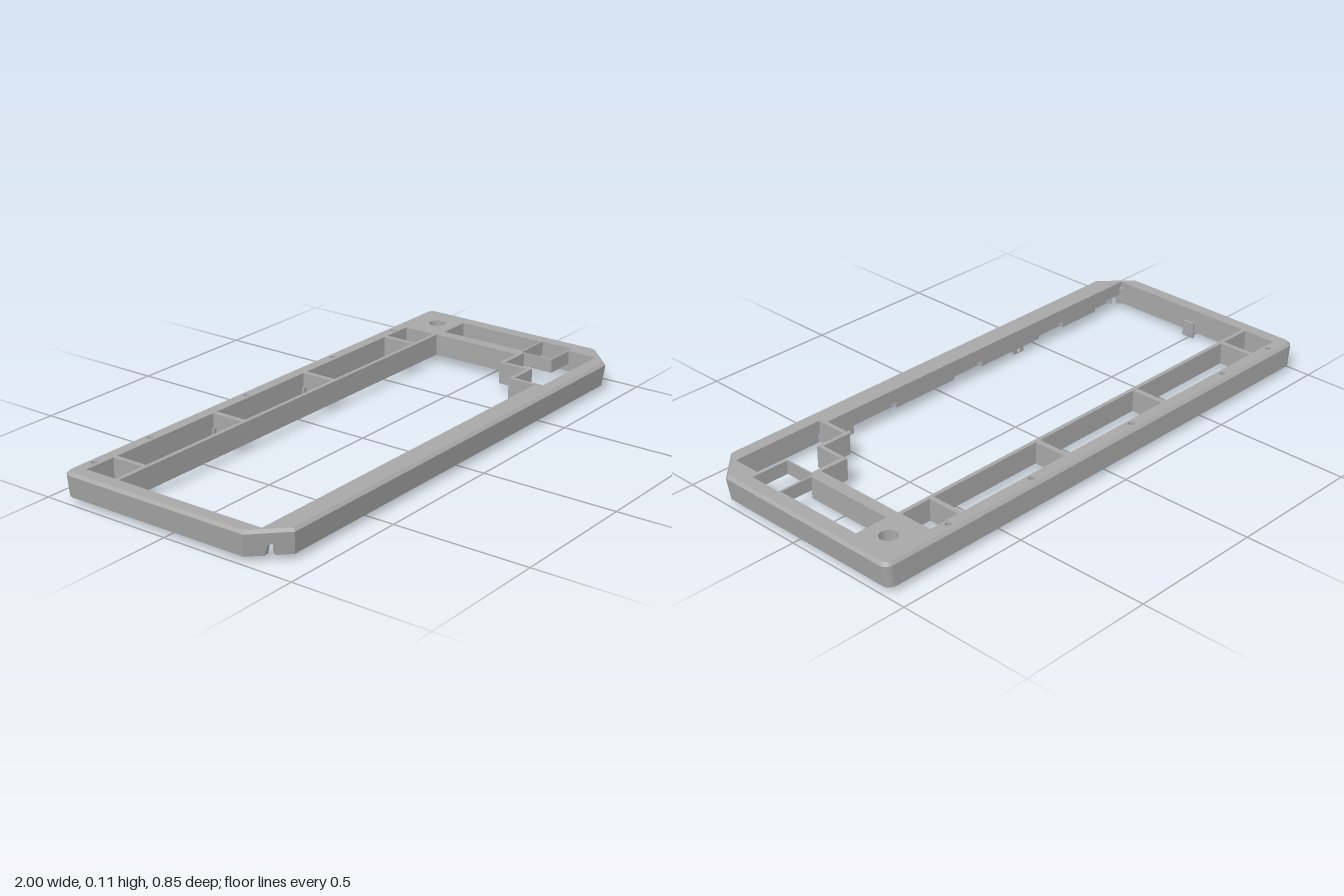
import * as THREE from 'three';

const BASE = 0.022, RIM = 0.10, TOP = 0.11, PLATE = 0.06;

// Closed loop [x, z], counter-clockwise seen from above: clipped front corners, rounded back ones
function outline(x, front, clipX, clipZ, back, r, n = 6) {
  const half = [[clipX, front], [x, clipZ]];
  for (let i = 0; i <= n; i++) {
    const a = (i / n) * Math.PI / 2;
    half.push([x - r + r * Math.cos(a), back + r - r * Math.sin(a)]);
  }
  return half.concat(half.map(([px, pz]) => [-px, pz]).reverse());
}

function polygon(points, Type = THREE.Shape) {
  return new Type(points.map(([x, z]) => new THREE.Vector2(x, -z)));
}

const rect = (x0, x1, z0, z1) => [[x0, z1], [x1, z1], [x1, z0], [x0, z0]];

// Flat shape in plan, raised from y0 to y1
function slab(shape, y0, y1) {
  const g = new THREE.ExtrudeGeometry(shape, { depth: y1 - y0, bevelEnabled: false, curveSegments: 16 });
  g.rotateX(-Math.PI / 2);
  g.translate(0, y0, 0);
  return g;
}

// Unit panel bent between an outer and an inner loop segment (u along, v up, w outward)
function panel(shape, i, low, high, inner, y0, y1, innerTop) {
  const g = new THREE.ExtrudeGeometry(shape, { depth: 1, bevelEnabled: false });
  const p = g.attributes.position, j = (i + 1) % low.length;
  const mix = THREE.MathUtils.lerp;
  for (let k = 0; k < p.count; k++) {
    const u = p.getX(k), v = p.getY(k), w = p.getZ(k);
    const at = c => mix(mix(inner[i][c], inner[j][c], u),
      mix(mix(low[i][c], low[j][c], u), mix(high[i][c], high[j][c], u), v), w);
    p.setXYZ(k, at(0), mix(y0, mix(innerTop, y1, w), v), at(1));
  }
  g.computeVertexNormals();
  return g;
}

export function createModel() {
  const group = new THREE.Group();
  const grey = new THREE.MeshStandardMaterial({ color: 0xa8a8a8 });
  grey.name = 'caseGrey';
  const add = (name, geometry, parent = group) => {
    const m = new THREE.Mesh(geometry, grey);
    m.name = name;
    parent.add(m);
    return m;
  };
  const box = (name, x0, x1, y0, y1, z0, z1) => {
    add(name, new THREE.BoxGeometry(x1 - x0, y1 - y0, z1 - z0))
      .position.set((x0 + x1) / 2, (y0 + y1) / 2, (z0 + z1) / 2);
  };

  // Outer walls, tapering down at the front and sides, with a notch in each clipped corner
  const bottom = outline(0.99, 0.418, 0.883, 0.31, -0.427, 0.03);
  const rim = outline(1, 0.427, 0.89, 0.318, -0.427, 0.03);
  const top = outline(0.99, 0.417, 0.886, 0.314, -0.417, 0.022);
  const lip = outline(0.985, 0.412, 0.884, 0.312, -0.412, 0.02);
  const inside = outline(0.945, 0.38, 0.9, 0.335, -0.375, 0);
  const square = new THREE.Shape([[0, 0], [1, 0], [1, 1], [0, 1]].map(p => new THREE.Vector2(...p)));
  const notched = flip => {
    const pts = [[0, 0], [0.4, 0], [0.48, 0.48], [0.62, 0.48], [0.64, 0], [1, 0], [1, 1], [0, 1]];
    return new THREE.Shape(pts.map(([u, v]) => new THREE.Vector2(flip ? 1 - u : u, v)));
  };
  const walls = new THREE.Group();
  walls.name = 'outerWalls';
  group.add(walls);
  const last = rim.length - 2;
  for (let i = 0; i < rim.length; i++) {
    const shape = i === 0 ? notched(true) : i === last ? notched(false) : square;
    add('wallPanel', panel(shape, i, bottom, rim, inside, BASE, RIM, 0.085), walls);
    add('topBevel', panel(square, i, rim, top, lip, RIM, TOP, TOP), walls);
  }

  // Top plate with key openings, knob hole and screw holes
  const plate = polygon(top);
  const stairs = [[0.77, 0.12], [0.66, 0.12], [0.66, 0.235], [0.545, 0.235]];
  const openings = [
    [[-0.945, -0.235], [0.77, -0.235], ...stairs, [0.545, 0.345], [-0.945, 0.345]],
    [[0.56, 0.37], [0.56, 0.25], [0.675, 0.25], [0.675, 0.137], [0.797, 0.137],
      [0.797, 0.256], [0.915, 0.256], [0.915, 0.37]],
    rect(0.803, 0.945, 0.125, 0.25),
    rect(0.815, 0.94, -0.23, 0.118),
  ];
  const bays = [[-0.945, -0.824], [-0.806, -0.342], [-0.322, 0.145], [0.165, 0.63], [0.648, 0.768]];
  bays.forEach(([a, b]) => openings.push(rect(a, b, -0.375, -0.25)));
  openings.forEach(o => plate.holes.push(polygon(o, THREE.Path)));
  const round = (x, z, r) => plate.holes.push(new THREE.Path().absarc(x, -z, r, 0, Math.PI * 2, true));
  round(0.88, -0.31, 0.031);
  [-0.89, -0.63, -0.145, 0.34, 0.71].forEach(x => round(x, -0.395, 0.011));
  add('topPlate', slab(plate, PLATE, TOP));

  // Ribs below the plate
  box('rowRib', -0.945, 0.77, 0.03, PLATE, -0.25, -0.235);
  for (let i = 0; i < 4; i++) box('bayDivider', bays[i][1], bays[i + 1][0], 0.03, PLATE, -0.375, -0.25);
  add('stairRib', slab(polygon([[0.77, -0.375], [0.785, -0.375], [0.785, 0.137], [0.675, 0.137], [0.675, 0.25],
    [0.56, 0.25], [0.56, 0.38], [0.545, 0.38], ...[...stairs].reverse()]), 0.03, PLATE));
  box('columnRib', 0.803, 0.815, 0.03, PLATE, -0.23, 0.118);

  // Rails under the front lip
  [[-0.8, -0.62], [-0.49, -0.19], [-0.05, 0.23]].forEach(([a, b]) =>
    box('frontRail', a, b, 0.035, PLATE, 0.348, 0.38));

  // Clips hanging below the walls, some with a round hole
  const clip = (x, z, turn, width, hole) => {
    const s = new THREE.Shape([[-1, 0], [1, 0], [1, PLATE], [-1, PLATE]]
      .map(([u, v]) => new THREE.Vector2(u * width / 2, v)));
    if (hole) s.holes.push(new THREE.Path().absarc(0, 0.012, 0.009, 0, Math.PI * 2, true));
    const g = new THREE.ExtrudeGeometry(s, { depth: 0.009, bevelEnabled: false });
    g.translate(0, 0, -0.0045);
    const m = add('clip', g);
    m.position.set(x, 0, z);
    m.rotation.y = turn;
  };
  clip(-0.405, 0.375, 0, 0.05, true);
  clip(0.432, 0.375, 0, 0.045, true);
  clip(-0.332, -0.367, 0, 0.046, false);
  clip(0.155, -0.367, 0, 0.046, false);
  clip(-0.94, 0.006, Math.PI / 2, 0.048, false);
  clip(0.94, 0.317, Math.PI / 2, 0.047, true);
  return group;
}
